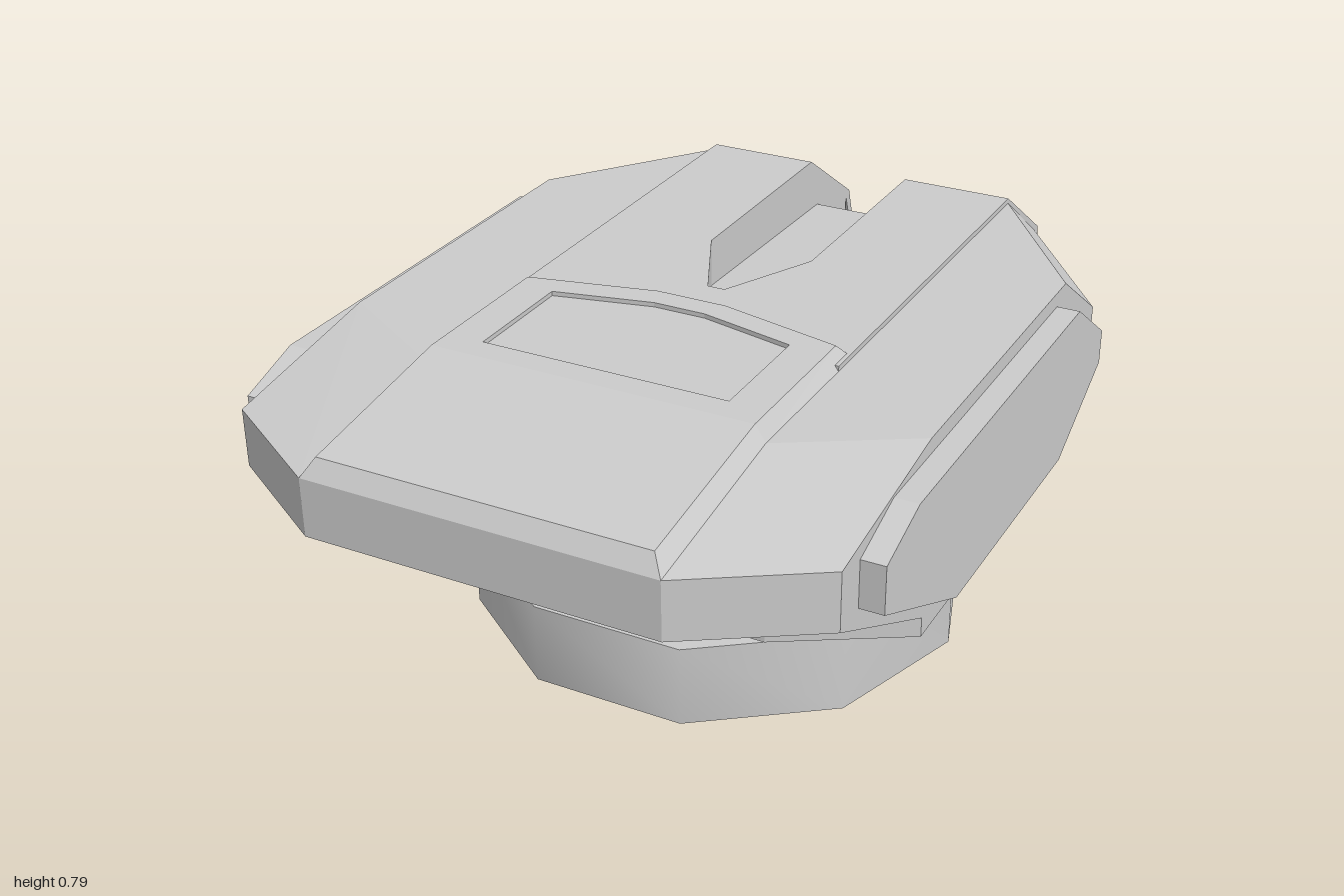
import * as THREE from 'three';
import { toCreasedNormals } from 'three/addons/utils/BufferGeometryUtils.js';

const material = new THREE.MeshStandardMaterial({ color: 0xcccccc });

// Skin closed rings of [x, y, z] points, flat shaded and capped at both ends.
// Each ring runs counter-clockwise seen from the last ring's side.
function loft(rings) {
  const p = [];
  const n = rings[0].length;
  const tri = (a, b, c) => p.push(...a, ...b, ...c);
  for (let s = 0; s < rings.length - 1; s++) {
    for (let i = 0; i < n; i++) {
      const j = (i + 1) % n;
      const [a, d, b, c] = [rings[s][i], rings[s][j], rings[s + 1][i], rings[s + 1][j]];
      tri(a, d, c);
      tri(a, c, b);
    }
  }
  const first = rings[0];
  const last = rings[rings.length - 1];
  for (let i = 1; i < n - 1; i++) {
    tri(first[0], first[i + 1], first[i]);
    tri(last[0], last[i], last[i + 1]);
  }
  const g = new THREE.BufferGeometry();
  g.setAttribute('position', new THREE.Float32BufferAttribute(p, 3));
  g.computeVertexNormals();
  return g;
}

// Mirrored set of side profiles, given from the outside to the middle
function crossLoft(stations) {
  const ring = (x, profile) => profile.map(([z, y]) => [x, y, z]);
  return loft([
    ...stations.map(([x, pr]) => ring(-x, pr)),
    ...stations.slice().reverse().map(([x, pr]) => ring(x, pr)),
  ]);
}

const shapeOf = (pts) => new THREE.Shape(pts.map(([a, b]) => new THREE.Vector2(a, b)));

// Extrude a (z, y) outline along x, from x0 to x1
function extrudeX(pts, x0, x1) {
  const g = new THREE.ExtrudeGeometry(shapeOf(pts.map(([z, y]) => [-z, y])), { depth: x1 - x0, bevelEnabled: false });
  return g.rotateY(Math.PI / 2).translate(x0, 0, 0);
}

// Extrude an (x, z) outline upward, from y0 to y1
function extrudeY(pts, y0, y1) {
  const g = new THREE.ExtrudeGeometry(shapeOf(pts.map(([x, z]) => [x, -z])), { depth: y1 - y0, bevelEnabled: false });
  return g.rotateX(-Math.PI / 2).translate(0, y0, 0);
}

// Ring from its right half: points [x, y, z] mirrored across x = 0
const mirrorRing = (half) => [...half, ...half.slice().reverse().map(([x, y, z]) => [-x, y, z])];

export function createModel() {
  const model = new THREE.Group();
  model.name = 'turret';
  const add = (name, geometry) => {
    const mesh = new THREE.Mesh(geometry, material);
    mesh.name = name;
    model.add(mesh);
    return mesh;
  };

  // Hull: outer side, centre and rear-slot profiles as (z, y)
  const side = [[0.83, 0.69], [0.83, 0.56], [0.42, 0.345], [-0.36, 0.345], [-0.59, 0.5],
    [-0.59, 0.6], [-0.36, 0.755], [-0.2, 0.755], [0.03, 0.755], [0.42, 0.755]];
  const centre = [[1, 0.69], [1, 0.56], [0.58, 0.345], [-0.72, 0.345], [-0.95, 0.5],
    [-0.95, 0.6], [-0.73, 0.755], [-0.2, 0.755], [0.03, 0.755], [0.58, 0.755]];
  const slot = centre.map((q) => q.slice());
  slot[4] = [-0.86, 0.44];
  slot[5] = [-0.86, 0.59];
  slot[6] = [-0.77, 0.64];
  slot[7] = [0.03, 0.66];
  add('hull', crossLoft([[0.66, side], [0.39, centre], [0.125, centre], [0.125, slot]]));

  // Plate under the hull
  const slab = (f, b) => [[f, 0.345], [f, 0.3], [b, 0.3], [b, 0.345]];
  add('bottomPlate', crossLoft([[0.66, slab(0.42, -0.36)], [0.39, slab(0.58, -0.72)]]));

  // Side armour panels, rear deck strips with hooked lip, and tapered slot end
  const panel = [[0.75, 0.67], [0.6, 0.72], [-0.31, 0.72], [-0.5, 0.59], [-0.5, 0.51],
    [-0.25, 0.38], [0.37, 0.38], [0.75, 0.565]];
  const deck = [[0.25, 0.767], [-0.73, 0.767], [-0.97, 0.605], [-1, 0.51], [-0.98, 0.51],
    [-0.95, 0.595], [-0.73, 0.75], [0.25, 0.75]];
  const taper = [[0.125, -0.19], [0.125, 0.25], [0, 0.25], [0, 0.03], [0.02, 0.03]];
  for (const s of [1, -1]) {
    const label = s > 0 ? 'left' : 'right';
    add(label + 'SidePanel', s > 0 ? extrudeX(panel, 0.65, 0.712) : extrudeX(panel, -0.712, -0.65));
    add(label + 'RearDeck', s > 0 ? extrudeX(deck, 0.125, 0.39) : extrudeX(deck, -0.39, -0.125));
    add(label + 'SlotEnd', extrudeY(taper.map(([x, z]) => [s * x, z]), 0.65, 0.767));
  }

  // Front hatch: bevelled rim, sloped nose and a shallow recessed panel
  const recess = (y) => mirrorRing([[0.28, y, 0.52], [0.28, y, 0.4], [0.28, y, 0.25], [0.06, y, 0.2]]);
  add('frontHatch', loft([
    mirrorRing([[0.39, 0.69, 1], [0.39, 0.753, 0.58], [0.39, 0.755, 0.18], [0.08, 0.755, 0.11]]),
    mirrorRing([[0.365, 0.73, 0.975], [0.365, 0.79, 0.58], [0.365, 0.79, 0.21], [0.08, 0.79, 0.145]]),
    mirrorRing([[0.365, 0.79, 0.58], [0.365, 0.79, 0.58], [0.365, 0.79, 0.21], [0.08, 0.79, 0.145]]),
    recess(0.79),
    recess(0.78),
  ]));

  // Ten-sided hollow base with stepped neck
  const profile = [[0, 0.28], [0.2, 0.28], [0.2, 0.21], [0.48, 0.21], [0.48, 0.19], [0.565, 0.19],
    [0.565, 0], [0.57, 0], [0.57, 0.19], [0.49, 0.19], [0.49, 0.265], [0.525, 0.3]];
  const base = new THREE.LatheGeometry(profile.map(([r, y]) => new THREE.Vector2(r, y)), 10);
  add('baseRing', toCreasedNormals(base.rotateY(Math.PI / 2), 0.7));

  // Bar inside the base opening
  add('baseBar', new THREE.BoxGeometry(0.3, 0.06, 0.03).translate(0, 0.255, 0.08));

  return model;
}
